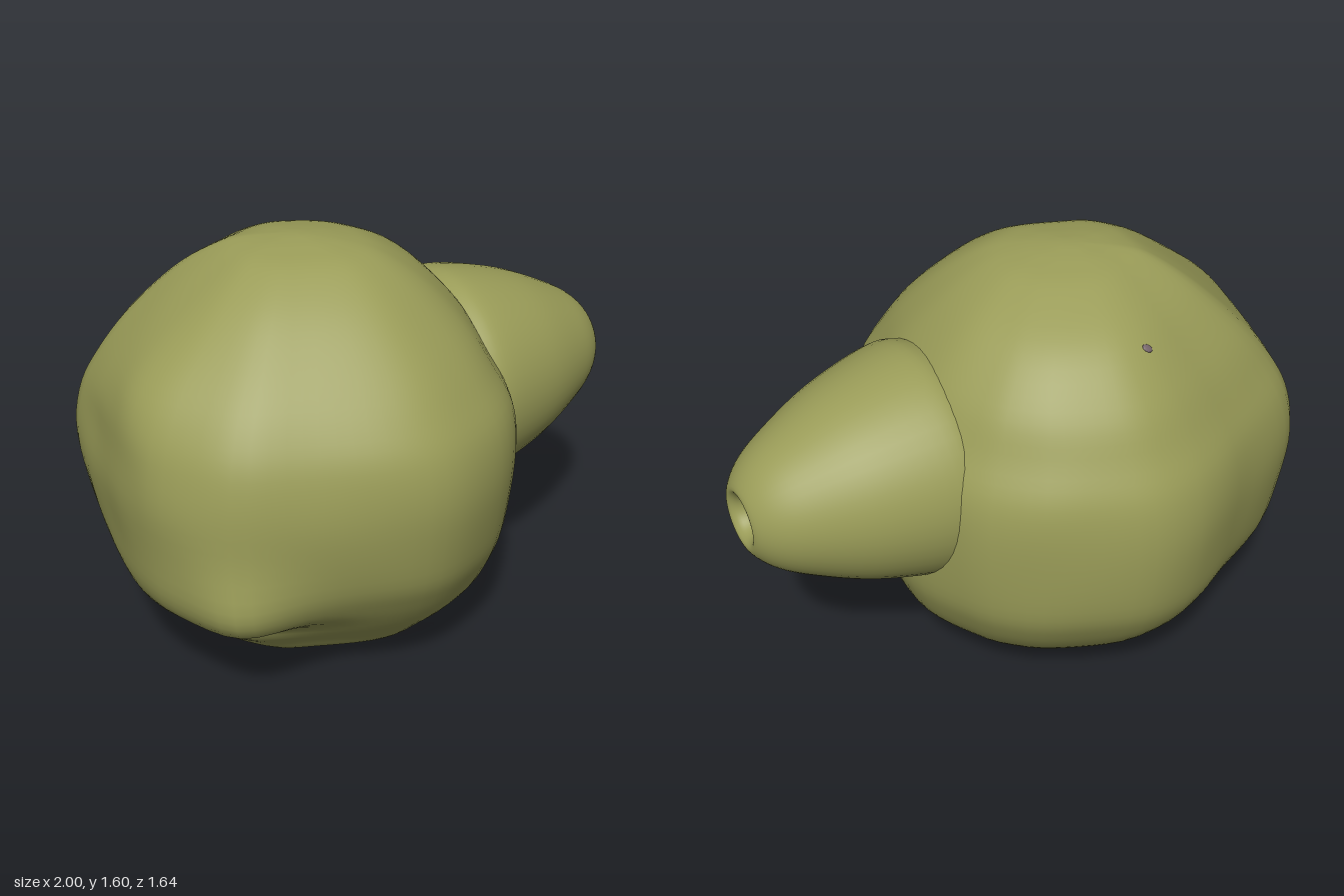
import * as THREE from 'three';

const skin = new THREE.MeshStandardMaterial({ color: 0x9a9c58 });
const dark = new THREE.MeshStandardMaterial({ color: 0x75656a });
const bump = (d, w) => Math.exp(-(d * d) / (w * w));

// Widest horizontal outline of the body: x, z
const OUTLINE = [
  [-1, -0.04], [-0.97, 0.13], [-0.91, 0.27], [-0.83, 0.41], [-0.72, 0.59], [-0.6, 0.71], [-0.36, 0.81],
  [-0.1, 0.78], [0.22, 0.71], [0.41, 0.61], [0.56, 0.41], [0.625, 0.24], [0.63, 0.08], [0.58, -0.2],
  [0.42, -0.52], [0.18, -0.71], [0.03, -0.77], [-0.16, -0.79], [-0.45, -0.745], [-0.61, -0.65],
  [-0.72, -0.52], [-0.81, -0.37],
];
// Body extents by height: y, xMin, xMax, zMin, zMax
const LEVELS = [
  [0, 0.05, 0.13, -0.09, -0.01], [0.03, -0.22, 0.22, -0.28, 0.2], [0.09, -0.56, 0.32, -0.42, 0.38],
  [0.17, -0.71, 0.42, -0.52, 0.46], [0.27, -0.82, 0.515, -0.62, 0.55], [0.4, -0.91, 0.57, -0.71, 0.65],
  [0.55, -0.96, 0.605, -0.77, 0.73], [0.8, -1, 0.63, -0.79, 0.78], [1, -0.97, 0.61, -0.77, 0.76],
  [1.15, -0.89, 0.53, -0.7, 0.69], [1.3, -0.77, 0.43, -0.62, 0.57], [1.45, -0.61, 0.28, -0.47, 0.41],
  [1.55, -0.46, 0.13, -0.26, 0.25], [1.585, -0.36, 0, -0.13, 0.13], [1.6, -0.22, -0.13, -0.03, 0.03],
];

function bodyGeometry() {
  const spline = (pts, closed) => new THREE.CatmullRomCurve3(pts, closed, 'catmullrom', 0.5);
  const n = 80, rows = 64;
  const outline = spline(OUTLINE.map(([x, z]) => new THREE.Vector3(x, 0, z)), true).getSpacedPoints(n);
  const xs = spline(LEVELS.map(l => new THREE.Vector3(l[0], l[1], l[2])), false);
  const zs = spline(LEVELS.map(l => new THREE.Vector3(l[0], l[3], l[4])), false);
  const pos = [], idx = [];
  for (let i = -1; i <= rows + 1; i++) {
    const t = THREE.MathUtils.clamp(i / rows, 0, 1);
    const pole = i < 0 || i > rows;
    const a = xs.getPoint(t), b = zs.getPoint(t), y = Math.max(a.x, 0);
    for (let j = 0; j < n; j++) {
      const u = pole ? 0.5 : (outline[j].x + 1) / 1.63;
      const v = pole ? 0.5 : (outline[j].z + 0.79) / 1.6;
      let x = THREE.MathUtils.lerp(a.y, a.z, u);
      let z = THREE.MathUtils.lerp(b.y, b.z, v);
      // Fuller corner between the front and the right side, above and below the middle
      const corner = bump(u - 0.14, 0.17) * bump(v - 0.82, 0.2);
      const push = corner * (0.055 * bump(y - 0.35, 0.2) + 0.065 * bump(y - 1.22, 0.2));
      x -= push * 0.75;
      z += push * 0.65;
      if (z > 0.2) {
        // Overhanging lump low on the front, with a small swelling below it
        const side = bump(x + 0.35, 0.24);
        z += 0.12 * side * bump(y - 0.42, y > 0.42 ? 0.22 : 0.075);
        z -= 0.02 * side * bump(y - 0.31, 0.05);
        z += 0.02 * bump(x + 0.37, 0.14) * bump(y - 0.23, 0.06);
      }
      // Shallow dent on the right side
      x += 0.02 * bump(x + 0.88, 0.25) * bump(y - 0.95, 0.14) * bump(z - 0.25, 0.14);
      // Slight unevenness of the skin
      const k = 0.005 * Math.sin(9 * x + 3 * y) * Math.sin(8 * y + 2) * Math.sin(10 * z + 4 * x);
      pos.push(x * (1 + k), y, z * (1 + k));
    }
  }
  for (let i = 0; i < rows + 2; i++) for (let j = 0; j < n; j++) {
    const p = i * n + j, q = i * n + (j + 1) % n;
    idx.push(p, q, p + n, q, q + n, p + n);
  }
  const g = new THREE.BufferGeometry();
  g.setAttribute('position', new THREE.Float32BufferAttribute(pos, 3));
  g.setIndex(idx);
  g.computeVertexNormals();
  return g;
}

function add(parent, name, geometry, material) {
  const m = new THREE.Mesh(geometry, material);
  m.name = name;
  parent.add(m);
  return m;
}

// Smooth turned shape from radius, height pairs
function turned(points, steps) {
  const curve = new THREE.SplineCurve(points.map(([r, y]) => new THREE.Vector2(r, y)));
  const pts = curve.getPoints(steps);
  pts.forEach(p => { p.x = Math.max(p.x, 0); });
  return new THREE.LatheGeometry(pts, 48);
}

export function createModel() {
  const group = new THREE.Group();
  group.name = 'fruit';
  const body = add(group, 'body', bodyGeometry(), skin);

  // Tapering neck, ending in a hollow
  const neck = new THREE.Group();
  neck.name = 'neck';
  neck.position.set(0.4, 0.91, -0.34);
  neck.quaternion.setFromUnitVectors(new THREE.Vector3(0, 1, 0), new THREE.Vector3(0.83, 0, -0.555).normalize());
  group.add(neck);
  add(neck, 'neckSkin', turned([
    [0.36, -0.3], [0.41, -0.12], [0.425, 0], [0.36, 0.25], [0.265, 0.46],
    [0.195, 0.57], [0.12, 0.632], [0.085, 0.62], [0.06, 0.575], [0, 0.555],
  ], 48), skin);
  const hollow = add(neck, 'stemHollow', new THREE.SphereGeometry(0.06, 20, 12), dark);
  hollow.scale.y = 0.25;
  hollow.position.y = 0.567;

  // Small blemish lying on the upper back
  const ray = new THREE.Raycaster(new THREE.Vector3(-0.43, 3, -0.4), new THREE.Vector3(0, -1, 0));
  const hit = ray.intersectObject(body)[0];
  const spot = add(group, 'blemish', new THREE.SphereGeometry(0.02, 10, 8), dark);
  spot.position.copy(hit.point);
  spot.scale.set(1, 0.3, 0.7);
  spot.quaternion.setFromUnitVectors(new THREE.Vector3(0, 1, 0), hit.face.normal);
  return group;
}
